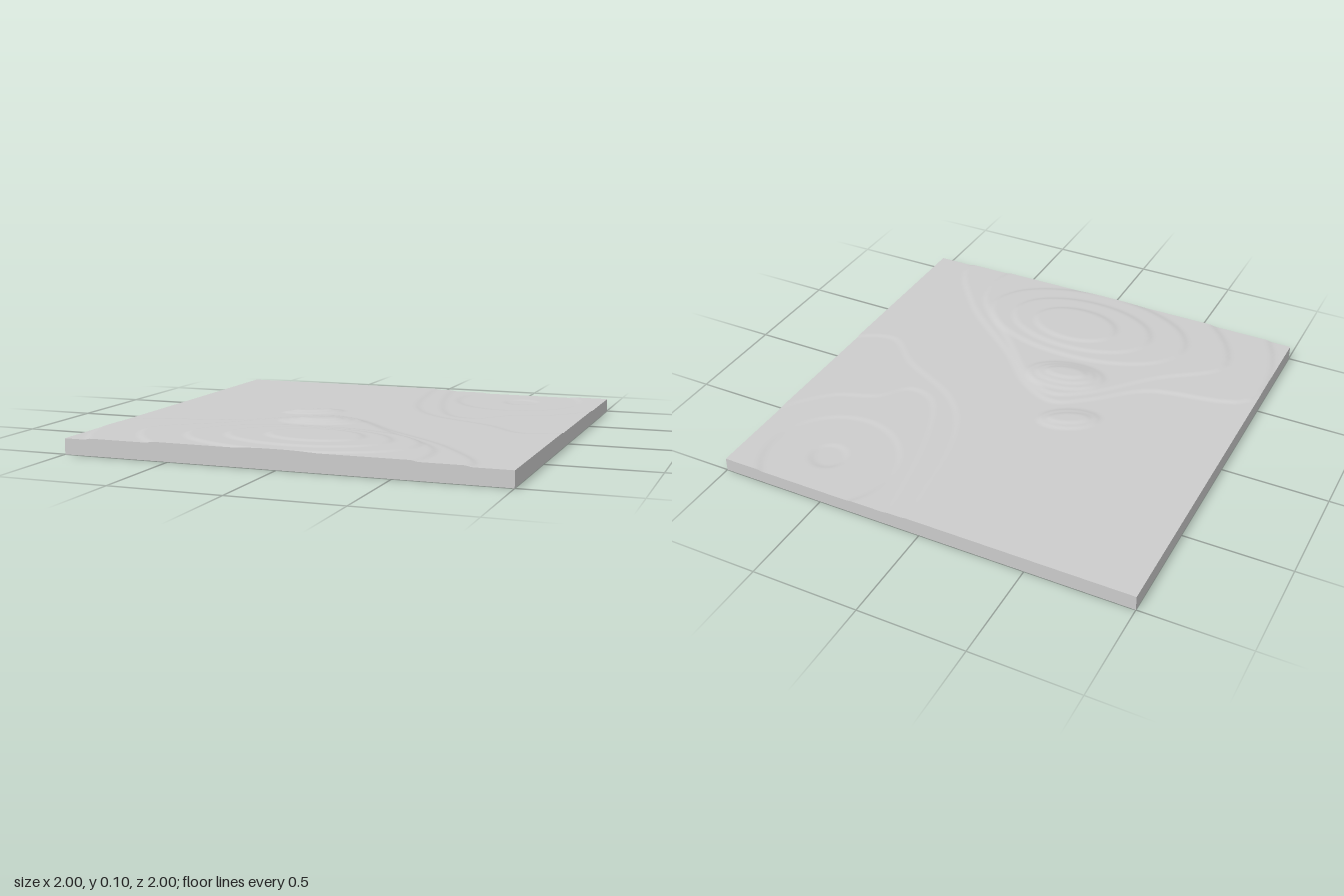
import * as THREE from 'three';

const BASE = 0.071, RISE = 0.0058, DROP = -0.004, CELLS = 160, SOFT = 0.013;

// Closed smooth contour through a few [x, z] points; step is its change of height
function contour(points, step = RISE) {
  const curve = new THREE.CatmullRomCurve3(points.map(([x, z]) => new THREE.Vector3(x, 0, z)), true);
  const pts = curve.getPoints(56).slice(0, -1);
  return { pts, step, box: new THREE.Box3().setFromPoints(pts).expandByScalar(SOFT) };
}

// Oval contour, turned by tilt
function oval(cx, cz, rx, rz, tilt = 0, step = RISE) {
  const ellipse = new THREE.EllipseCurve(cx, cz, rx, rz, 0, Math.PI * 2, false, tilt);
  return contour(ellipse.getPoints(12).slice(0, -1).map((p) => [p.x, p.y]), step);
}

function makeTerraces() {
  const list = [
    // two lowest terraces of the front hill, reaching back around the knoll
    contour([[-0.97, 0.47], [-0.5, 0.32], [-0.28, 0.13], [-0.13, 0.04], [0.05, 0.12], [0.25, 0.32],
      [0.63, 0.65], [0.82, 1], [0, 1.3], [-0.85, 1.05]]),
    contour([[-0.77, 0.68], [-0.5, 0.43], [-0.24, 0.16], [-0.1, 0.09], [0.04, 0.15], [0.28, 0.4],
      [0.6, 0.75], [0.55, 1.06], [-0.5, 1.06]]),
    // outer two steps of the back hollow
    contour([[0.12, -1.1], [0.1, -0.7], [0.19, -0.32], [0.33, -0.14], [0.64, 0.03], [0.84, 0.18],
      [1.1, 0], [1.1, -1.3]], DROP),
    contour([[0.2, -1.1], [0.2, -0.75], [0.39, -0.2], [0.53, -0.16], [0.64, -0.28], [0.85, -0.38],
      [1.05, -0.7], [0.9, -1.25]], DROP),
    // inner rings of the hollow
    oval(0.58, -0.79, 0.31, 0.32, 0, DROP),
    oval(0.6, -0.77, 0.08, 0.08, 0, DROP),
  ];
  // upper terraces of the hill, shrinking and drifting towards its summit
  for (let i = 0; i < 3; i++) list.push(oval(-0.01 + 0.025 * i, 0.71 - 0.018 * i, 0.53 - 0.157 * i, 0.3 - 0.08 * i));
  // steep knoll on the shoulder of the hill
  for (let i = 0; i < 3; i++) list.push(oval(-0.1, 0.25 + 0.006 * i, 0.19 - 0.045 * i, 0.11 - 0.033 * i, -0.2));
  // small separate mound
  for (let i = 0; i < 2; i++) list.push(oval(-0.26, -0.05, 0.14 - 0.04 * i, 0.075 - 0.035 * i, -0.45));
  return list;
}

// 0 outside the contour, 1 inside, eased across its edge
function coverage({ pts, box }, x, z) {
  if (x < box.min.x || x > box.max.x || z < box.min.z || z > box.max.z) return 0;
  let inside = false, best = Infinity;
  for (let i = 0, j = pts.length - 1; i < pts.length; j = i++) {
    const a = pts[j], b = pts[i], dx = b.x - a.x, dz = b.z - a.z;
    const t = THREE.MathUtils.clamp(((x - a.x) * dx + (z - a.z) * dz) / (dx * dx + dz * dz), 0, 1);
    best = Math.min(best, Math.hypot(x - a.x - t * dx, z - a.z - t * dz));
    if ((a.z > z) !== (b.z > z) && x < a.x + (dx * (z - a.z)) / dz) inside = !inside;
  }
  return THREE.MathUtils.smoothstep(inside ? best : -best, -SOFT, SOFT);
}

export function createModel() {
  const stone = new THREE.MeshStandardMaterial({ color: 0xcccccc });
  stone.name = 'stone grey';
  const earth = new THREE.MeshStandardMaterial({ color: 0x785843 });
  earth.name = 'earth brown';
  const model = new THREE.Group();
  model.name = 'terrainTile';
  const add = (name, geometry, material) => {
    const mesh = new THREE.Mesh(geometry, material);
    mesh.name = name;
    model.add(mesh);
  };
  const terraces = makeTerraces();
  const groundHeight = (x, z) => terraces.reduce((h, t) => h + t.step * coverage(t, x, z), BASE);

  // terraced ground
  const ground = new THREE.PlaneGeometry(2, 2, CELLS, CELLS).rotateX(-Math.PI / 2);
  const g = ground.attributes.position;
  for (let i = 0; i < g.count; i++) g.setY(i, groundHeight(g.getX(i), g.getZ(i)));
  ground.computeVertexNormals();
  add('ground', ground, stone);

  // four walls whose top edge follows the ground
  ['frontWall', 'leftWall', 'backWall', 'rightWall'].forEach((name, k) => {
    const wall = new THREE.PlaneGeometry(2, 1, CELLS, 1).translate(0, 0.5, 1).rotateY((k * Math.PI) / 2);
    const p = wall.attributes.position;
    for (let i = 0; i < p.count; i++) p.setY(i, p.getY(i) > 0.5 ? groundHeight(p.getX(i), p.getZ(i)) : 0);
    add(name, wall, stone);
  });

  // underside
  add('underside', new THREE.PlaneGeometry(2, 2).rotateX(Math.PI / 2), earth);
  return model;
}
